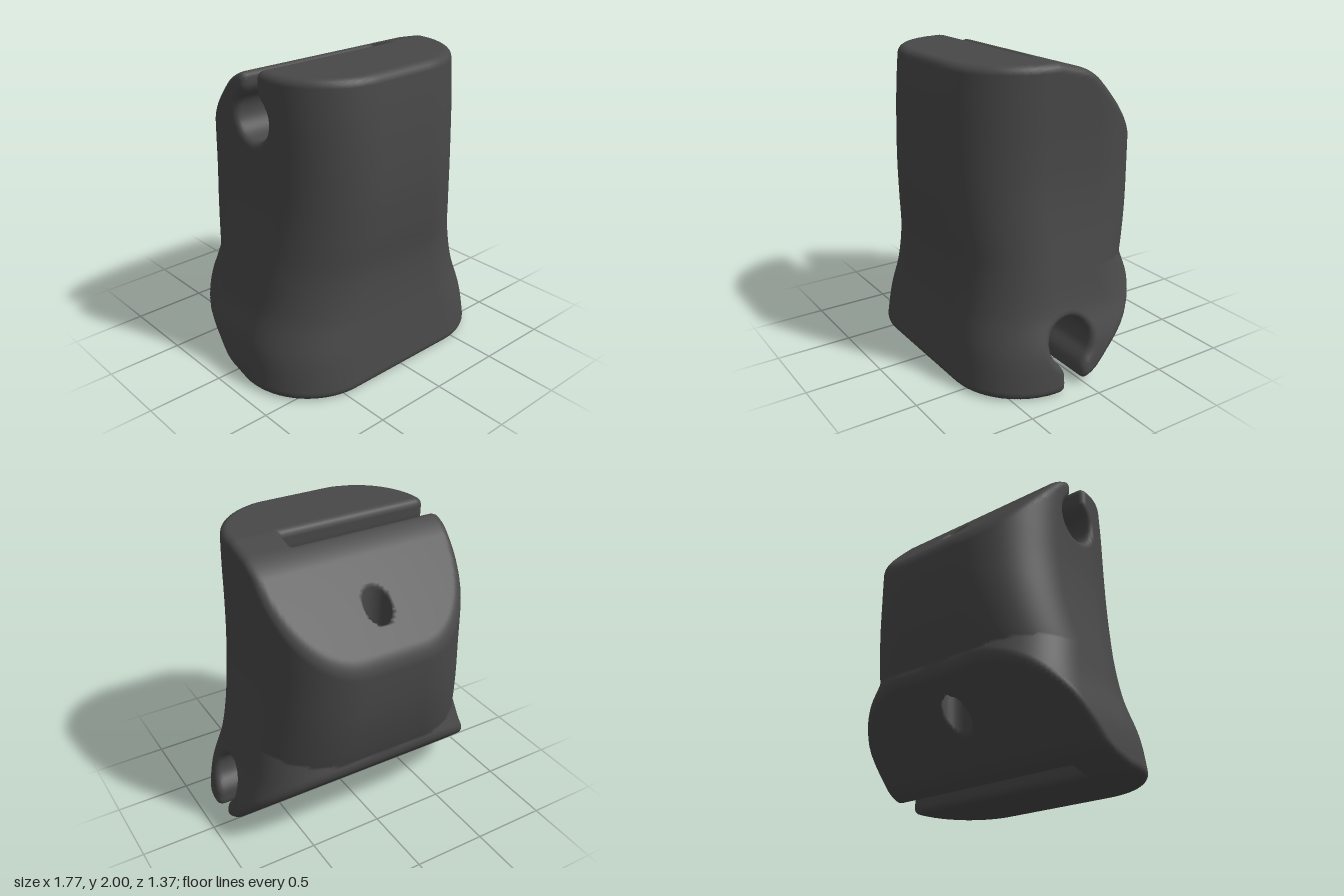
import * as THREE from 'three';

// Profiles of the tapered body, sampled every 0.25 in height
const HALF_WIDTH = [0.893, 0.865, 0.79, 0.745, 0.708, 0.685, 0.68, 0.685, 0.69];
const FRONT = [0.69, 0.66, 0.63, 0.62, 0.643, 0.658, 0.655, 0.64, 0.615];
const BACK = [0.40, 0.46, 0.53, 0.607, 0.66, 0.683, 0.686, 0.67, 0.63];

// Smooth (Catmull-Rom) lookup of a profile
function profile(list, y) {
  const t = THREE.MathUtils.clamp(y / 0.25, 0, 7.999), i = Math.floor(t), f = t - i;
  const b = list[i], c = list[i + 1];
  const a = i > 0 ? list[i - 1] : 2 * b - c, d = i < 7 ? list[i + 2] : 2 * c - b;
  return b + 0.5 * f * (c - a + f * (2 * a - 5 * b + 4 * c - d + f * (3 * (b - c) + d - a)));
}

// Intersection and union with a rounded edge of radius r
const roundMax = (a, b, r) =>
  Math.min(-r, Math.max(a, b)) + Math.hypot(Math.max(a + r, 0), Math.max(b + r, 0));
const roundMin = (a, b, r) => -roundMax(-a, -b, r);

// Each part is a distance rule: negative inside, positive outside

// Rounded block with a flat base and top, each bevelled towards the back
function body(x, y, z) {
  const flare = 0.575 + (0.65 - y + 0.3 * x * x) * 0.3;
  const front = profile(FRONT, y), back = -Math.max(profile(BACK, y), flare);
  const section = roundMax(
    Math.abs(x) - profile(HALF_WIDTH, y),
    Math.abs(z - (front + back) / 2) - (front - back) / 2, 0.48);
  const top = roundMax(
    Math.max(y - 2, (y - 0.25 * z - 1.975) / 1.031), (y - z - 2.085) * Math.SQRT1_2, 0.05);
  const base = roundMax(
    Math.max(-y, (-y - 0.25 * z + 0.04) / 1.031), (-y - z - 0.005) * Math.SQRT1_2, 0.05);
  return roundMax(roundMax(section, top, 0.05), base, 0.05);
}

// Keyhole channel along x: a round bore with a narrow neck, closed at one end
function keyhole(depth, z, closedEnd) {
  const bore = Math.hypot(depth - 0.3, z) - 0.15;
  const neck = Math.max(Math.abs(z) - 0.062, depth - 0.3);
  return Math.max(roundMin(bore, neck, 0.05), closedEnd);
}
const upperSlot = (x, y, z) => keyhole(2 - y, z - 0.025, x - 0.36);
const lowerSlot = (x, y, z) => keyhole(y, z - 0.098, -0.55 - x);

// Slightly leaning round hole between the two bevels
const throughHole = (x, y, z) => Math.hypot(x, z + 0.43 - (1.6 - y) * 0.05) - 0.09;

function solid(x, y, z) {
  let d = body(x, y, z);
  d = roundMax(d, -upperSlot(x, y, z), 0.045);
  d = roundMax(d, -lowerSlot(x, y, z), 0.045);
  return roundMax(d, -throughHole(x, y, z), 0.012);
}

// Which part a surface point belongs to
const PART_NAMES = ['body', 'upperSlot', 'lowerSlot', 'throughHole'];
function partAt([x, y, z]) {
  const d = [body(x, y, z), -upperSlot(x, y, z), -lowerSlot(x, y, z), -throughHole(x, y, z)];
  return d.indexOf(Math.max(...d));
}

function gradient([x, y, z], e = 0.003) {
  return [
    (solid(x + e, y, z) - solid(x - e, y, z)) / (2 * e),
    (solid(x, y + e, z) - solid(x, y - e, z)) / (2 * e),
    (solid(x, y, z + e) - solid(x, y, z - e)) / (2 * e)];
}

// Slide a point onto the surface
function settle(p) {
  for (let n = 0; n < 3; n++) {
    const g = gradient(p), d = solid(...p);
    const s = THREE.MathUtils.clamp(d / Math.max(g[0] ** 2 + g[1] ** 2 + g[2] ** 2, 0.3), -0.01, 0.01);
    p = p.map((v, i) => v - s * g[i]);
  }
  return p;
}

// Skin the solid with quads: one vertex per grid cell that the surface crosses
function skin() {
  const h = 0.021, origin = [-0.937, -0.037, -0.737], size = [91, 100, 72];
  const step = [1, size[0], size[0] * size[1]];
  const field = new Float32Array(size[0] * size[1] * size[2]);
  const each = (visit) => {
    for (let k = 0, n = 0; k < size[2]; k++)
      for (let j = 0; j < size[1]; j++)
        for (let i = 0; i < size[0]; i++, n++) visit([i, j, k], n);
  };
  const place = (c) => c.map((v, i) => origin[i] + v * h);
  each((c, n) => { field[n] = solid(...place(c)); });

  // Cell vertices: average of the edge crossings, settled on the surface
  const vertices = new Map();
  each((c, n) => {
    if (c.some((v, i) => v >= size[i] - 1)) return;
    const sum = [0, 0, 0];
    let count = 0;
    for (let corner = 0; corner < 8; corner++)
      for (let a = 0; a < 3; a++) {
        if (corner >> a & 1) continue;
        const o = [corner & 1, corner >> 1 & 1, corner >> 2 & 1];
        const m = n + o[0] * step[0] + o[1] * step[1] + o[2] * step[2];
        const d0 = field[m], d1 = field[m + step[a]];
        if ((d0 < 0) === (d1 < 0)) continue;
        o[a] = d0 / (d0 - d1);
        o.forEach((v, i) => { sum[i] += v; });
        count++;
      }
    if (count) vertices.set(n, settle(place(c.map((v, i) => v + sum[i] / count))));
  });

  // Quads around every grid edge that passes through the surface
  const parts = PART_NAMES.map(() => ({ seen: new Map(), position: [], normal: [], index: [] }));
  const addVertex = (part, n) => {
    if (!part.seen.has(n)) {
      const p = vertices.get(n);
      part.seen.set(n, part.seen.size);
      part.position.push(...p);
      part.normal.push(...new THREE.Vector3(...gradient(p)).normalize().toArray());
    }
    return part.seen.get(n);
  };
  each((c, n) => {
    for (let a = 0; a < 3; a++) {
      const b = (a + 1) % 3, d = (a + 2) % 3;
      if (c[a] >= size[a] - 1 || !c[b] || !c[d]) continue;
      const inside = field[n] < 0;
      if (inside === field[n + step[a]] < 0) continue;
      const quad = [n, n - step[b], n - step[b] - step[d], n - step[d]];
      if (!inside) quad.reverse();
      const part = parts[partAt(vertices.get(quad[0]))];
      const [p, q, r, s] = quad.map((v) => addVertex(part, v));
      part.index.push(p, q, r, p, r, s);
    }
  });
  return parts;
}

export function createModel() {
  const group = new THREE.Group();
  group.name = 'slottedBlock';
  const material = new THREE.MeshStandardMaterial({ color: 0x484848 });
  skin().forEach((part, i) => {
    const geometry = new THREE.BufferGeometry();
    geometry.setAttribute('position', new THREE.Float32BufferAttribute(part.position, 3));
    geometry.setAttribute('normal', new THREE.Float32BufferAttribute(part.normal, 3));
    geometry.setIndex(part.index);
    const mesh = new THREE.Mesh(geometry, material);
    mesh.name = PART_NAMES[i];
    group.add(mesh);
  });
  return group;
}
